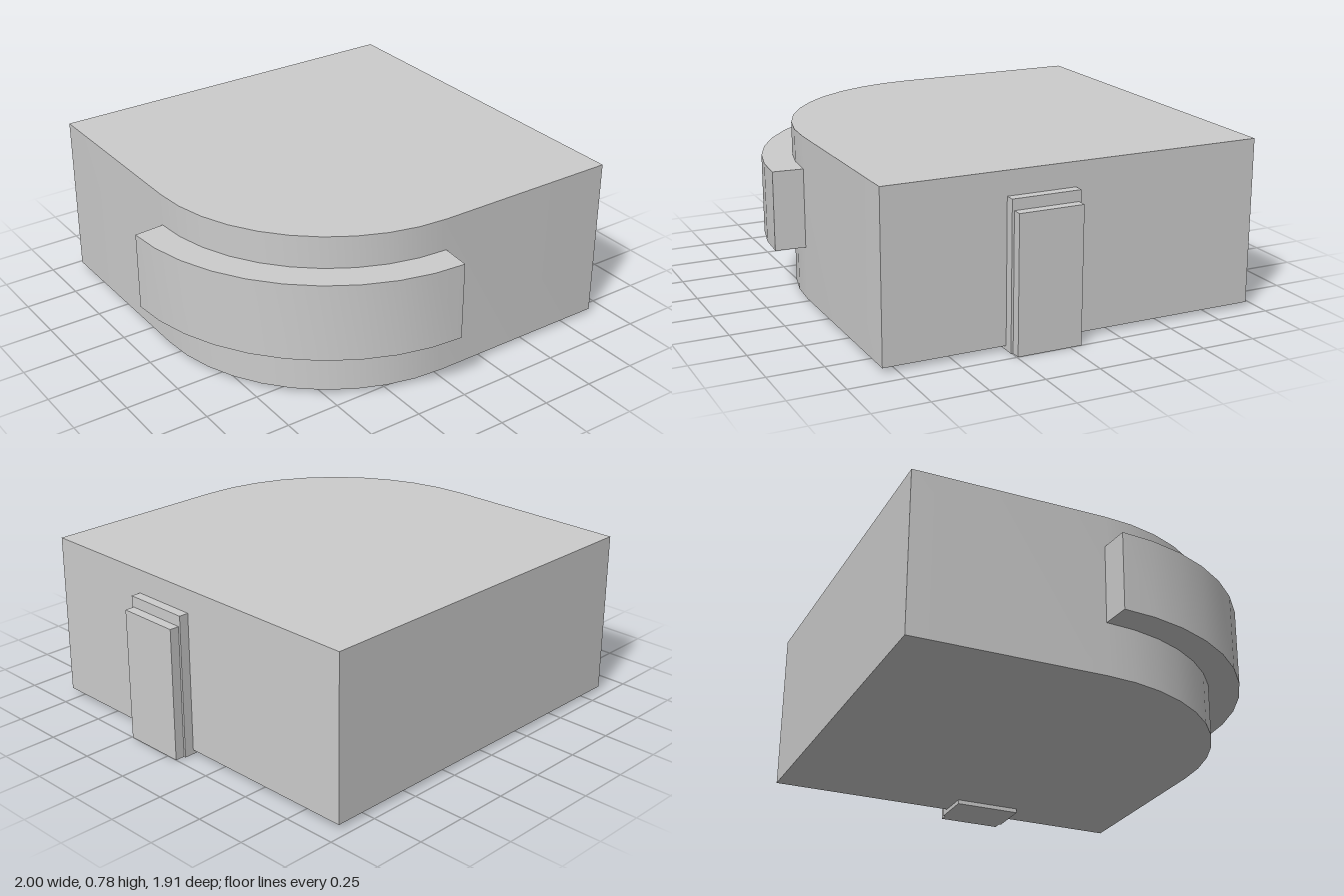
import * as THREE from 'three';
import { toCreasedNormals } from 'three/addons/utils/BufferGeometryUtils.js';

const material = new THREE.MeshStandardMaterial({ color: 0xcccccc });

export function createModel() {
  const model = new THREE.Group();

  const add = (name, geometry) => {
    const mesh = new THREE.Mesh(geometry, material);
    mesh.name = name;
    model.add(mesh);
  };

  // Extrudes a plan outline, given as [x, z] points, between two heights
  const addSlab = (name, outline, y0, y1) => {
    const shape = new THREE.Shape(outline.map(([x, z]) => new THREE.Vector2(x, -z)));
    const geometry = new THREE.ExtrudeGeometry(shape, { depth: y1 - y0, bevelEnabled: false });
    geometry.rotateX(-Math.PI / 2).translate(0, y0, 0);
    add(name, toCreasedNormals(geometry, 0.5));
  };

  // Box given by its min and max on each axis
  const addBox = (name, [x0, x1], [y0, y1], [z0, z1]) => {
    const geometry = new THREE.BoxGeometry(x1 - x0, y1 - y0, z1 - z0);
    geometry.translate((x0 + x1) / 2, (y0 + y1) / 2, (z0 + z1) / 2);
    add(name, geometry);
  };

  // Rounded front corner, shared by the body and the band around it
  const steps = 10, radius = 0.88, cx = 0.02, cz = -0.067;
  const step = Math.PI / 2 / steps;
  const point = (angle, r) => [cx - r * Math.cos(angle), cz + r * Math.sin(angle)];
  const corner = [];
  for (let i = 0; i <= steps; i++) corner.push(point(i * step, radius));

  // Main body with one rounded corner
  addSlab('body', [[0.91, -0.955], [-0.86, -0.955], ...corner, [0.91, 0.813]], 0.02, 0.78);

  // Curved band: mitred offset of the corner, ends square to the end chords
  const thickness = 0.14;
  const outer = corner.map(([x, z], i) => {
    const end = i === 0 || i === steps;
    const angle = i * step + (i === 0 ? step / 2 : i === steps ? -step / 2 : 0);
    const d = end ? thickness : thickness / Math.cos(step / 2);
    return [x - d * Math.cos(angle), z + d * Math.sin(angle)];
  });
  addSlab('cornerBand', [...corner, ...outer.reverse()], 0.265, 0.63);

  // Side door: frame, raised panel and the sill reaching under the body
  addBox('doorFrame', [0.91, 0.955], [0, 0.67], [-0.065, 0.255]);
  addBox('doorPanel', [0.955, 1], [0, 0.62], [-0.055, 0.245]);
  addBox('doorSill', [0.755, 0.91], [0, 0.02], [-0.065, 0.255]);

  return model;
}
